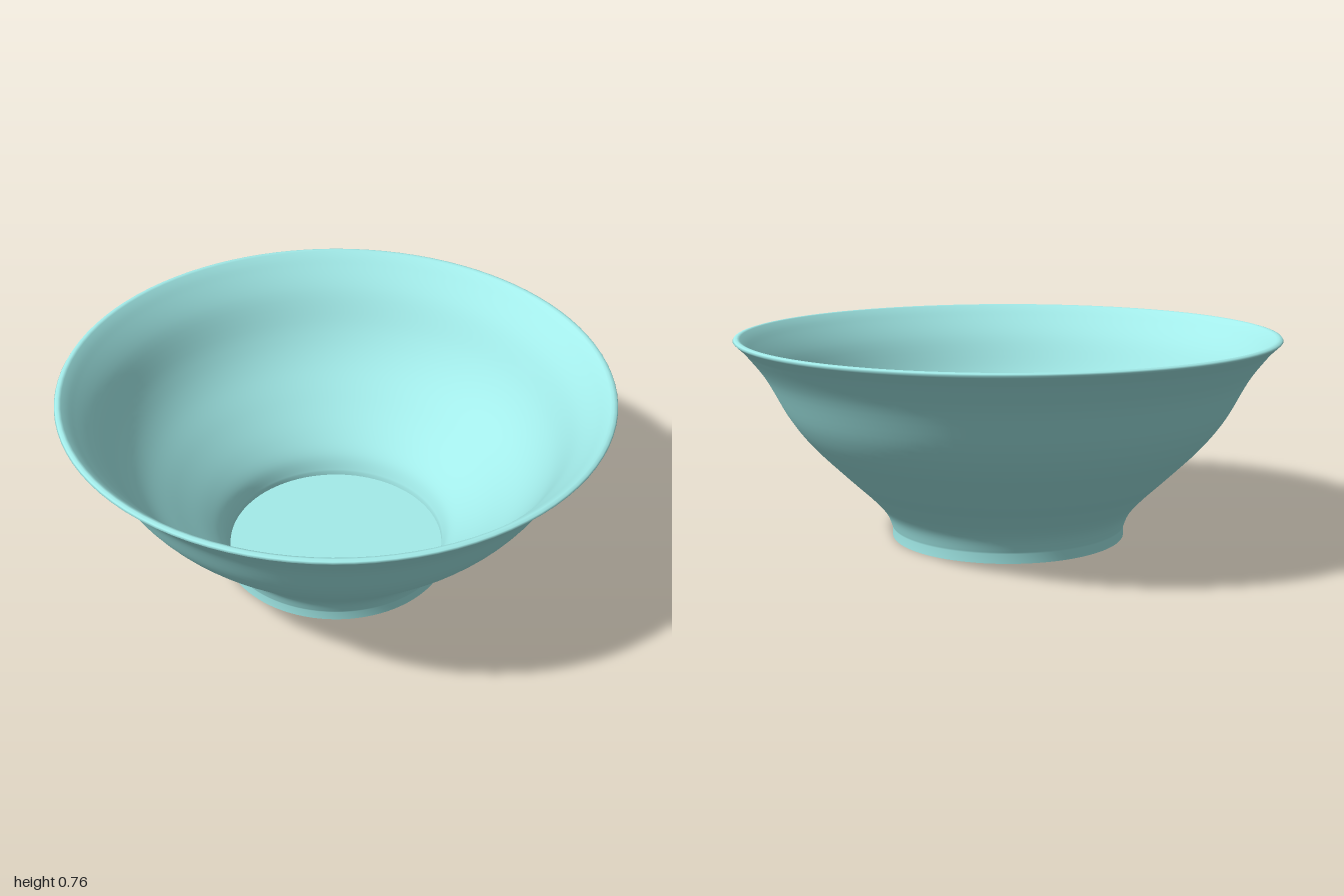
import * as THREE from 'three';

const SEGMENTS = 96;
const toPoints = (pairs) => pairs.map(([r, y]) => new THREE.Vector2(r, y));
const smooth = (pairs, n) => new THREE.SplineCurve(toPoints(pairs)).getPoints(n);

export function createModel() {
  const group = new THREE.Group();
  group.name = 'bowl';
  const material = new THREE.MeshStandardMaterial({ color: 0xa3ecea });

  const add = (name, geometry) => {
    const mesh = new THREE.Mesh(geometry, material);
    mesh.name = name;
    group.add(mesh);
    return mesh;
  };

  // Outer wall: short upright foot, then an S-curve flaring to the rim
  const outer = smooth([
    [0.435, 0.035], [0.46, 0.095], [0.515, 0.16], [0.62, 0.26], [0.73, 0.37],
    [0.81, 0.475], [0.89, 0.62], [0.965, 0.718],
  ], 40);

  // Inner wall: follows the outer one at a thin, even thickness
  const inner = smooth([
    [0.95, 0.73], [0.87, 0.632], [0.79, 0.488], [0.713, 0.386], [0.603, 0.28],
    [0.497, 0.179], [0.437, 0.107], [0.411, 0.04],
  ], 40);

  // Wall: foot, outside, rounded rim and inside in one smooth profile
  const rim = toPoints([[0.993, 0.744], [1, 0.751], [0.996, 0.757], [0.985, 0.76], [0.975, 0.757]]);
  const profile = [...toPoints([[0.435, 0]]), ...outer, ...rim, ...inner, ...toPoints([[0.41, 0.025]])];
  add('wall', new THREE.LatheGeometry(profile, SEGMENTS));

  // Flat inside floor and underside, with crisp edges
  const floor = add('floor', new THREE.CircleGeometry(0.41, SEGMENTS));
  floor.rotation.x = -Math.PI / 2;
  floor.position.y = 0.025;
  const base = add('base', new THREE.CircleGeometry(0.435, SEGMENTS));
  base.rotation.x = Math.PI / 2;

  return group;
}
